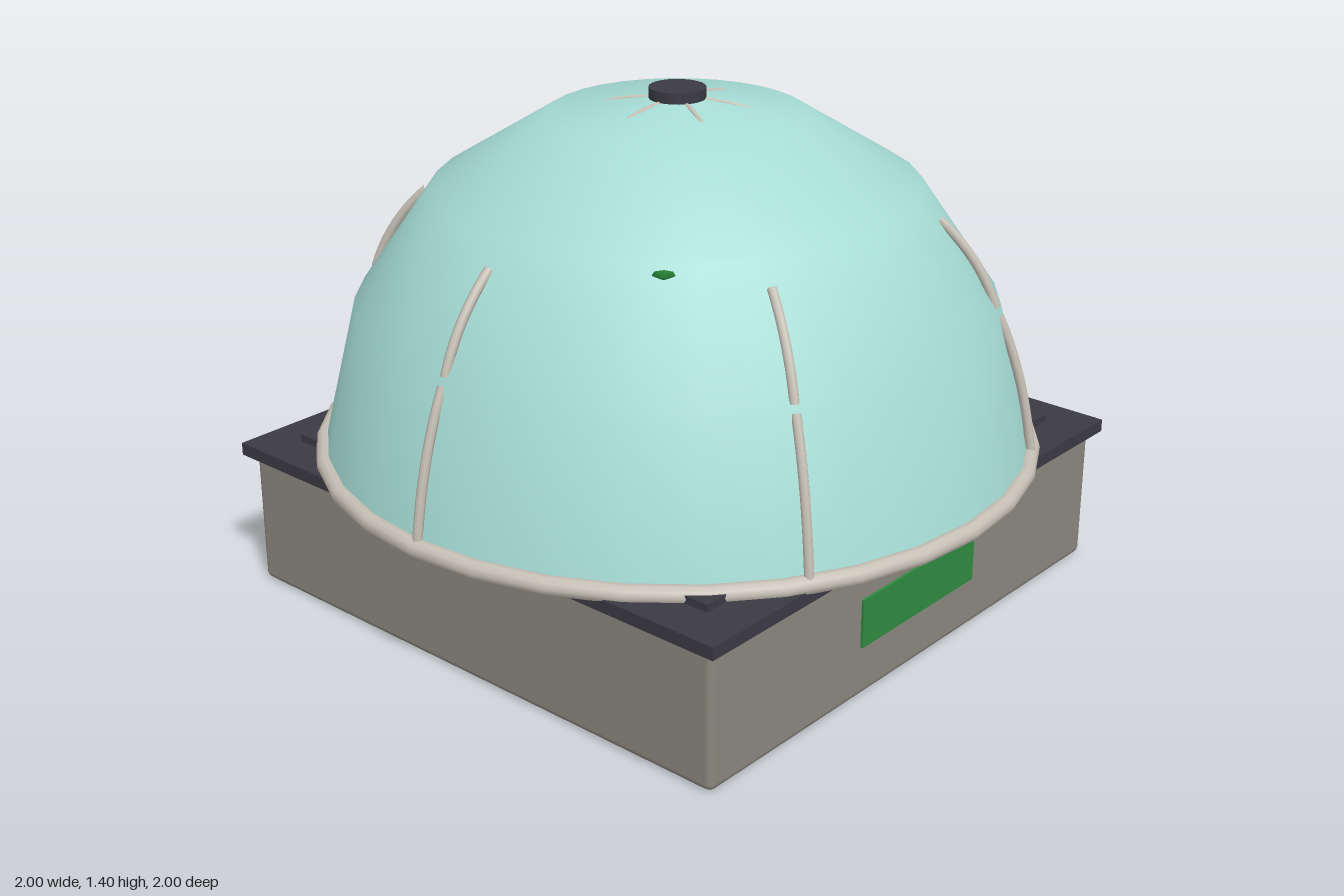
import * as THREE from 'three';
import { RoundedBoxGeometry } from 'three/addons/geometries/RoundedBoxGeometry.js';

const mat = (name, color, side = THREE.FrontSide) =>
  new THREE.MeshStandardMaterial({ name, color, side });

export function createModel() {
  const model = new THREE.Group();
  model.name = 'domedPlanter';
  const glass = mat('paleAquaGlass', 0xa6dcd5, THREE.DoubleSide);
  const trim = mat('warmGreyTrim', 0xc6c0b5);
  const casing = mat('taupeCasing', 0x8b877e);
  const dark = mat('charcoal', 0x3b3942);
  const green = mat('panelGreen', 0x2f8a40);
  const leaf = mat('leafGreen', 0x237a30);
  const soil = mat('soilBrown', 0x4a3628);

  const add = (name, geo, material, x = 0, y = 0, z = 0, parent = model) => {
    const m = new THREE.Mesh(geo, material);
    m.name = name;
    m.position.set(x, y, z);
    parent.add(m);
    return m;
  };

  // Base and overhanging deck
  add('base', new RoundedBoxGeometry(1.65, 0.38, 1.65, 2, 0.02), casing, 0, 0.195, 0);
  add('deck', new THREE.BoxGeometry(1.7, 0.035, 1.7), dark, 0, 0.402, 0);
  for (const x of [-0.695, 0.695]) for (const z of [-0.695, 0.695])
    add('cornerClip', new THREE.BoxGeometry(0.08, 0.03, 0.08), dark, x, 0.425, z);
  add('frontPanel', new THREE.BoxGeometry(0.49, 0.135, 0.009), green, 0, 0.217, 0.828);

  // Switch plate and toggle on the model's left side
  add('switchPlate', new THREE.BoxGeometry(0.02, 0.158, 0.232), dark, 0.83, 0.247, 0);
  const toggle = add('toggle', new THREE.SphereGeometry(1, 16, 10), leaf, 0.848, 0.247, 0.055);
  toggle.scale.set(0.033, 0.034, 0.016);

  // Dome shell, rim and cap
  const profile = [[0.968, 0.44], [0.87, 0.84], [0.655, 1.15], [0.345, 1.34], [0, 1.388]];
  add('dome', new THREE.LatheGeometry(
    profile.map(([r, y]) => new THREE.Vector2(r, y)), 32, Math.PI / 2), glass);
  const rim = add('rim', new THREE.TorusGeometry(0.973, 0.025, 10, 32), trim, 0, 0.43, 0);
  rim.rotation.x = Math.PI / 2;
  add('cap', new THREE.CylinderGeometry(0.076, 0.076, 0.03, 24), dark, 0, 1.392, 0);

  // Ribs bow out over the flats of the dome: [start, control, end] as radius, height
  const arcs = [
    [[0.972, 0.44], [0.945, 0.66], [0.866, 0.83]],
    [[0.856, 0.85], [0.812, 0.985], [0.698, 1.085]],
    [[0.195, 1.355], [0.13, 1.372], [0.07, 1.374]],
  ];
  for (let i = 0; i < 6; i++) {
    const ribs = new THREE.Group();
    ribs.name = 'rib';
    ribs.rotation.y = i * Math.PI / 3;
    arcs.forEach((arc, k) => {
      const curve = new THREE.QuadraticBezierCurve3(
        ...arc.map(([r, y]) => new THREE.Vector3(r, y, 0)));
      add('ribBar', new THREE.TubeGeometry(curve, 10, k === 2 ? 0.007 : 0.013, 8), trim, 0, 0, 0, ribs);
    });
    model.add(ribs);
  }

  // Soil bed and a ring of plants under the dome
  add('soilBed', new THREE.CylinderGeometry(0.78, 0.8, 0.05, 32), soil, 0, 0.435, 0);
  const leafGeo = new THREE.SphereGeometry(1, 10, 6);
  const addLeaf = (x, y, z, yaw, tilt, s = 1) => {
    const m = add('leaf', leafGeo, leaf, x, y, z);
    m.scale.set(0.11 * s, 0.016, 0.05 * s);
    m.rotation.set(0, yaw, tilt, 'YXZ');
  };
  for (let i = 0; i < 8; i++) {
    const a = (i + 0.5) * Math.PI / 4;
    const x = 0.62 * Math.cos(a), z = -0.62 * Math.sin(a);
    add('stem', new THREE.CylinderGeometry(0.012, 0.018, 0.22, 8), leaf, x, 0.55, z);
    for (let j = 0; j < 5; j++) {
      const b = a + j * Math.PI * 0.4;
      addLeaf(x + 0.1 * Math.cos(b), 0.52 + 0.03 * j, z - 0.1 * Math.sin(b), b, 0.25);
    }
    addLeaf(0.8 * Math.cos(a), 0.49, -0.8 * Math.sin(a), a, 0, 0.9);
  }

  // Two tall plants whose leaf tips just pierce the dome
  for (const s of [1, -1]) {
    add('tallStem', new THREE.CylinderGeometry(0.012, 0.02, 0.68, 8), leaf, s * 0.44, 0.78, -s * 0.35);
    const a = Math.atan2(0.42, 0.53) + (s < 0 ? Math.PI : 0);
    addLeaf(s * 0.467, 1.122, -s * 0.37, a, 0, 0.9);
  }
  return model;
}
